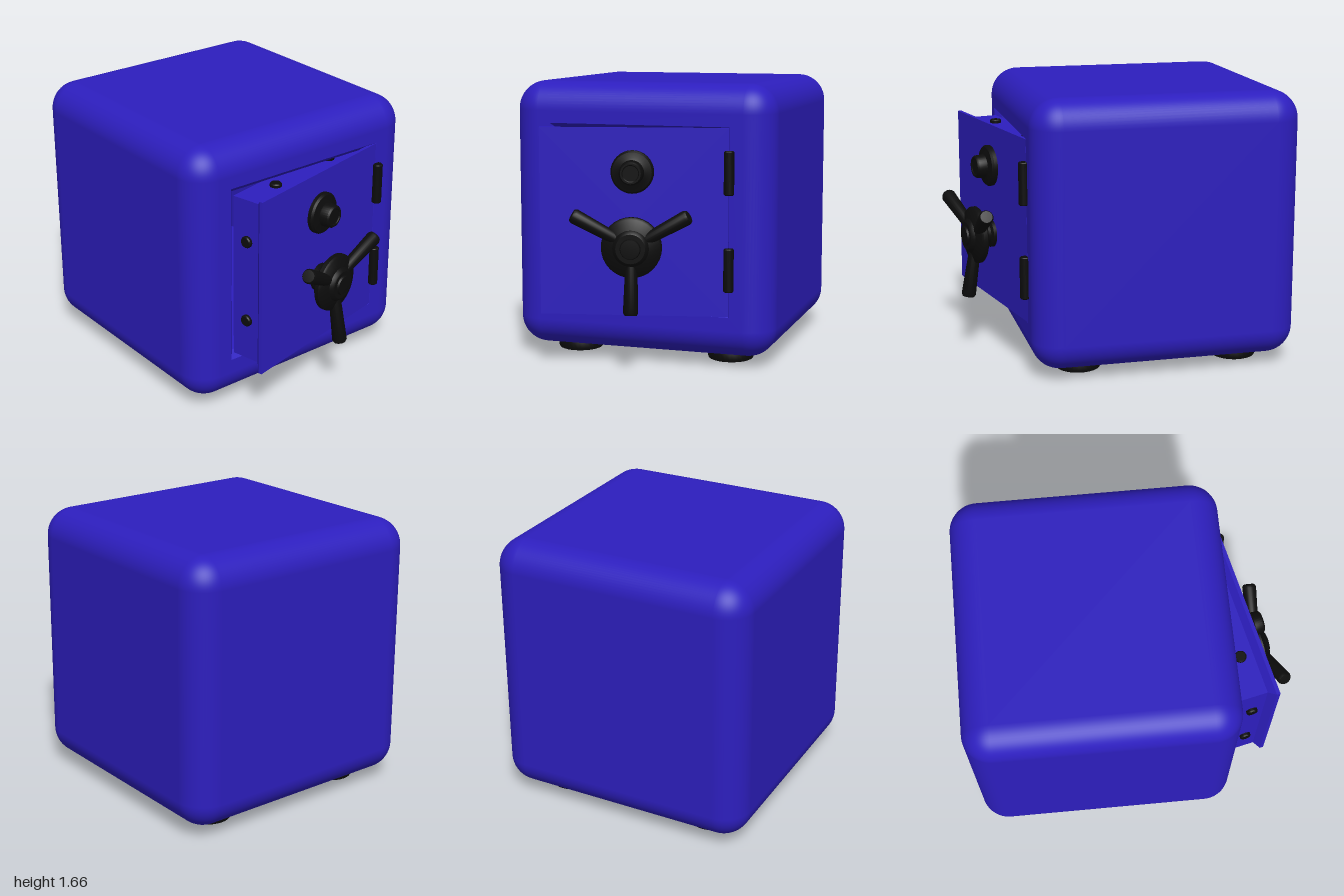
import * as THREE from 'three';
import { RoundedBoxGeometry } from 'three/addons/geometries/RoundedBoxGeometry.js';
import { mergeGeometries, toCreasedNormals } from 'three/addons/utils/BufferGeometryUtils.js';

const blue = new THREE.MeshStandardMaterial({ color: 0x2d1ebe });
const black = new THREE.MeshStandardMaterial({ color: 0x0c0c0c });

const SIZE = 1.605, ROUND = 0.17, FACE_X = 0.605;
const OPENING = 0.553, DOOR_Y = 0.868;

function add(parent, name, geometry, material, x = 0, y = 0, z = 0) {
  const mesh = new THREE.Mesh(geometry, material);
  mesh.name = name;
  mesh.position.set(x, y, z);
  parent.add(mesh);
  return mesh;
}

// Turned profile of [radius, height] points, hard edges kept crisp
function turned(points, segments = 32) {
  const profile = points.map(([r, h]) => new THREE.Vector2(r, h));
  return toCreasedNormals(new THREE.LatheGeometry(profile, segments), 0.6);
}

// Same, with its axis pointing along +x
const turnedX = (points, segments) => turned(points, segments).rotateZ(-Math.PI / 2);

// Square stack of [half side, x] sections along +x
function squareStack(points) {
  const corners = points.map(([half, x]) => [half * Math.SQRT2, x]);
  return turned(corners, 4).rotateY(Math.PI / 4).rotateZ(-Math.PI / 2);
}

// Rounded shell whose +x side is a plate with a square opening
function bodyGeometry() {
  const box = new RoundedBoxGeometry(SIZE, SIZE, SIZE, 8, ROUND);
  const pos = box.attributes.position, nor = box.attributes.normal;
  const points = [], normals = [];
  for (let i = 0; i < pos.count; i += 3) {
    const tri = [i, i + 1, i + 2];
    if (tri.every((k) => pos.getX(k) > SIZE / 2 - 1e-4)) continue;
    for (const k of tri) {
      points.push(pos.getX(k), pos.getY(k), pos.getZ(k));
      normals.push(nor.getX(k), nor.getY(k), nor.getZ(k));
    }
  }
  const shell = new THREE.BufferGeometry();
  shell.setAttribute('position', new THREE.Float32BufferAttribute(points, 3));
  shell.setAttribute('normal', new THREE.Float32BufferAttribute(normals, 3));

  const square = (path, h, cy) =>
    path.moveTo(-h, cy - h).lineTo(h, cy - h).lineTo(h, cy + h).lineTo(-h, cy + h).closePath();
  const plate = new THREE.Shape();
  square(plate, SIZE / 2 - ROUND, 0);
  const hole = new THREE.Path();
  square(hole, OPENING, DOOR_Y - 0.8625);
  plate.holes.push(hole);
  const front = new THREE.ShapeGeometry(plate).toNonIndexed();
  front.deleteAttribute('uv');
  front.rotateY(Math.PI / 2).translate(SIZE / 2, 0, 0);
  return mergeGeometries([shell, front]);
}

function buildHandle() {
  const handle = new THREE.Group();
  handle.name = 'handle';
  // Stem, wheel and stepped hub
  add(handle, 'handleHub', turnedX([
    [0.085, 0], [0.085, 0.02], [0.065, 0.03], [0.065, 0.08], [0.165, 0.085], [0.175, 0.095],
    [0.175, 0.12], [0.165, 0.132], [0.105, 0.15], [0.095, 0.165], [0.085, 0.172],
    [0.06, 0.172], [0.055, 0.183], [0, 0.186],
  ]), black);
  // Three spokes leaning away from the door
  for (let i = 0; i < 3; i++) {
    const arm = new THREE.Group();
    arm.rotation.x = Math.PI + i * Math.PI * 2 / 3;
    const spoke = add(arm, 'handleSpoke', turned([
      [0.034, 0.06], [0.044, 0.375], [0.036, 0.39], [0, 0.392],
    ], 20), black, 0.1);
    spoke.rotation.z = -0.165;
    handle.add(arm);
  }
  return handle;
}

function buildDoor() {
  const door = new THREE.Group();
  door.name = 'door';
  const mid = 0.548;
  // Door slab: plug, bevel and thin lip
  add(door, 'doorPanel', squareStack([
    [0, -0.24], [0.508, -0.24], [0.508, -0.06], [0.548, -0.022], [0.548, 0], [0, 0],
  ]), blue, 0, 0, mid);
  // Locking bolts, two on each edge of the plug
  const bolt = turned([[0.035, 0.48], [0.035, 0.522], [0.029, 0.53], [0, 0.53]], 20);
  for (let side = 0; side < 4; side++) {
    const edge = new THREE.Group();
    edge.name = 'lockingBolts';
    edge.position.set(-0.138, 0, mid);
    edge.rotation.x = side * Math.PI / 2;
    for (const z of [-0.253, 0.253]) add(edge, 'lockingBolt', bolt, black, 0, 0, z);
    door.add(edge);
  }
  // Combination dial
  add(door, 'dial', turnedX([
    [0.125, 0], [0.125, 0.022], [0.115, 0.034], [0.085, 0.04], [0.072, 0.045],
    [0.068, 0.095], [0.06, 0.105], [0.05, 0.105], [0.045, 0.1], [0, 0.1],
  ]), black, 0, 1.162 - DOOR_Y, mid + 0.005);
  const handle = buildHandle();
  handle.position.set(0, 0.738 - DOOR_Y, mid);
  door.add(handle);
  return door;
}

export function createModel() {
  const safe = new THREE.Group();
  safe.name = 'safe';

  add(safe, 'body', bodyGeometry(), blue, FACE_X - SIZE / 2, 0.8625, 0);
  // Bevelled door frame and hollow interior
  add(safe, 'interior', squareStack([
    [OPENING, 0], [0.515, -0.045], [0.515, -1.4], [0, -1.4],
  ]), blue, FACE_X, DOOR_Y, 0);

  // Feet
  const foot = turned([
    [0, 0], [0.122, 0], [0.133, 0.005], [0.138, 0.016], [0.138, 0.05], [0.13, 0.07], [0, 0.07],
  ]);
  for (const x of [-0.69, 0.292])
    for (const z of [-0.485, 0.485]) add(safe, 'foot', foot, black, x, 0, z);

  // Hinge barrels
  const hinge = turned([
    [0, -0.127], [0.025, -0.127], [0.03, -0.121], [0.03, 0.121], [0.025, 0.127], [0, 0.127],
  ], 20);
  for (const y of [0.597, 1.16]) add(safe, 'hinge', hinge, black, 0.622, y, -0.557);

  // Door standing ajar on its hinges
  const door = buildDoor();
  door.position.set(FACE_X, DOOR_Y, -0.55);
  door.rotation.y = 0.22;
  safe.add(door);
  return safe;
}
